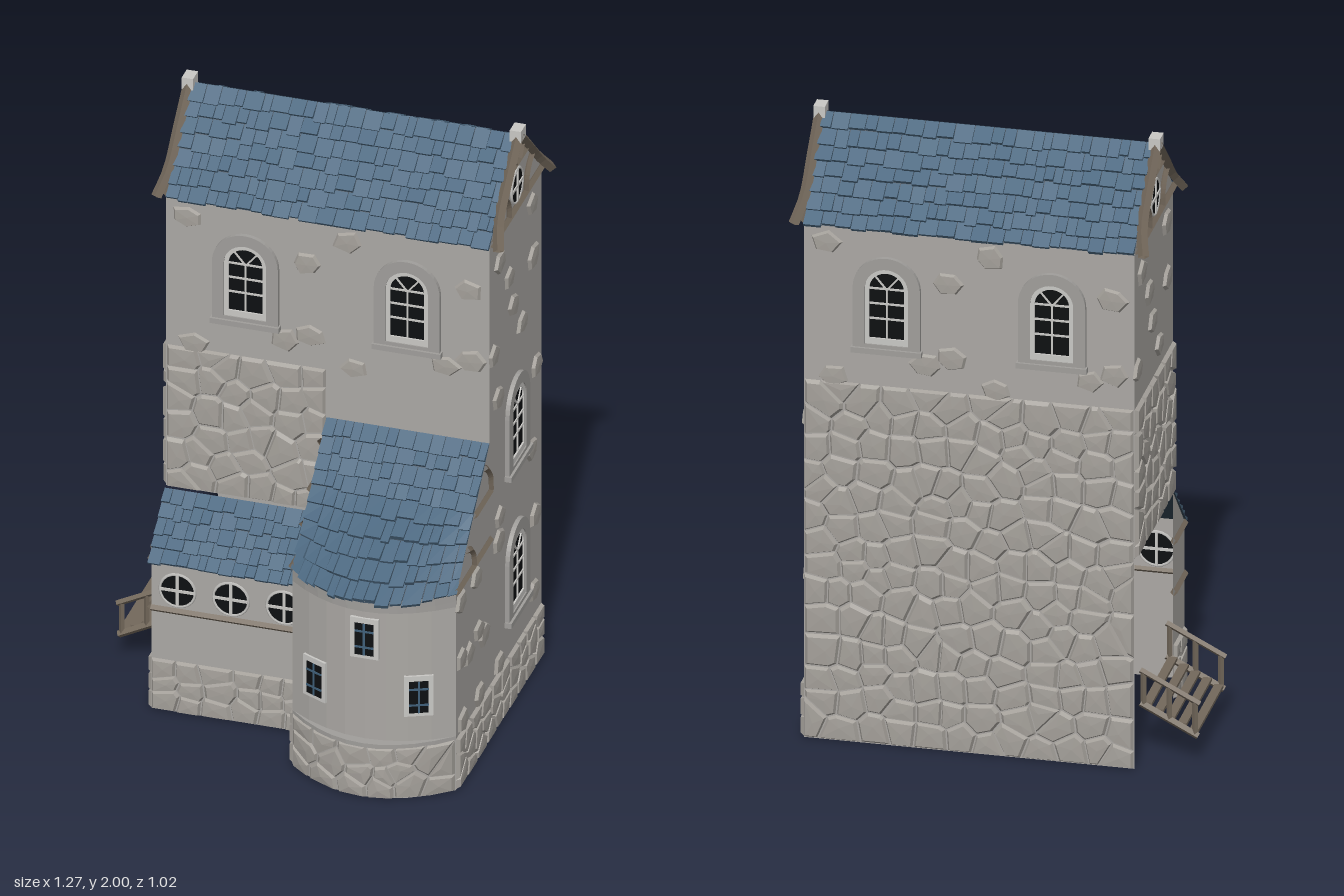
import * as THREE from 'three';

const mat = (name, color, side = THREE.DoubleSide) => {
  const m = new THREE.MeshStandardMaterial({ color, side });
  m.name = name;
  return m;
};

export function createModel() {
  const root = new THREE.Group();
  const M = {
    wall: mat('plaster', 0xaba8a4), stone: mat('stone', 0xa5a19b), trim: mat('window surround', 0xa09e9b),
    wood: mat('timber', 0x73685b), tile: mat('slate', 0x4c6880), under: mat('dark slate', 0x2f3f4e),
    glass: mat('glass', 0x0d0f11), frame: mat('pale frame', 0xc9c8c5), blue: mat('blue bars', 0x40607a),
  };
  let seed = 7;
  const rnd = () => (seed = (seed * 16807) % 2147483647) / 2147483647;
  const add = (name, geo, m, parent = root) => {
    const o = new THREE.Mesh(geo, m);
    o.name = name;
    parent.add(o);
    return o;
  };
  const soup = (pos) => {
    const g = new THREE.BufferGeometry();
    g.setAttribute('position', new THREE.Float32BufferAttribute(pos, 3));
    g.computeVertexNormals();
    return g;
  };

  // Wall faces: (u to the right, v up, h outward) -> world point
  const front = (z) => (u, v, h) => [u, v, z + h];
  const back = (u, v, h) => [-u, v, -0.49 - h];
  const right = (u, v, h) => [0.59 + h, v, -u];
  const left = (x) => (u, v, h) => [x - h, v, u];
  const bulge = (x) => Math.max(0, 1 - ((x - 0.33) / 0.26) ** 2);
  const bay = (d) => (u, v, h) => [u, v, 0.37 + d * bulge(u) + h];

  const mapGeo = (geo, f) => {
    const g = geo.toNonIndexed(), p = g.attributes.position;
    for (let i = 0; i < p.count; i++) p.setXYZ(i, ...f(p.getX(i), p.getY(i), p.getZ(i)));
    g.computeVertexNormals();
    return g;
  };
  const wall = (name, face, pts) => add(name,
    mapGeo(new THREE.ShapeGeometry(new THREE.Shape(pts.map((p) => new THREE.Vector2(...p)))), (u, v) => face(u, v, 0)), M.wall);
  const rect = (a, b, c, d) => [[a, c], [b, c], [b, d], [a, d]];

  // Plastered walls, hollow and open below
  wall('towerFront', front(0.03), [[-0.44, 0.7], [0.07, 0.7], [0.07, 1.02], [0.59, 1.02], [0.59, 1.72], [-0.44, 1.72]]);
  wall('towerBack', back, rect(-0.59, 0.44, 0, 1.72));
  wall('towerLeft', left(-0.44), [[-0.49, 0.7], [0.03, 0.7], [0.03, 1.72], [-0.23, 1.97], [-0.49, 1.72]]);
  wall('rightWall', right, [[-0.37, 0], [0.49, 0], [0.49, 1.72], [0.23, 1.97], [-0.03, 1.72], [-0.03, 1.03], [-0.37, 0.69]]);
  wall('leanToFront', front(0.18), rect(-0.44, 0.07, 0, 0.53));
  wall('leanToLeft', left(-0.44), [[0.03, 0], [0.18, 0], [0.18, 0.53], [0.03, 0.69]]);
  wall('bayLeft', left(0.07), [[0.03, 0.6], [0.18, 0.5], [0.18, 0], [0.37, 0], [0.37, 0.69], [0.03, 1.03]]);
  const curved = (name, d, y0, y1) => add(name,
    mapGeo(new THREE.PlaneGeometry(0.52, y1 - y0, 8, 1), (x, y) => bay(d)(x + 0.33, y + (y0 + y1) / 2, 0)), M.wall);
  curved('bayWall', 0.095, 0.16, 0.69);
  curved('bayBase', 0.12, 0, 0.18);
  // Curved ledge and cornice bands of the bay
  const band = (name, d, y0, y1) => {
    const s = [], n = 10;
    for (let i = 0; i <= n; i++) { const x = 0.07 + 0.52 * i / n; s.push(new THREE.Vector2(x, -bay(d)(x, 0, 0)[2])); }
    for (let i = n; i >= 0; i--) { const x = 0.07 + 0.52 * i / n; s.push(new THREE.Vector2(x, -bay(0.09)(x, 0, -0.01)[2])); }
    const g = new THREE.ExtrudeGeometry(new THREE.Shape(s), { depth: y1 - y0, bevelEnabled: false });
    g.rotateX(-Math.PI / 2).translate(0, y0, 0);
    add(name, g, M.trim);
  };
  band('bayLedge', 0.125, 0.175, 0.19);
  band('bayCorniceLower', 0.11, 0.645, 0.665);
  band('bayCorniceUpper', 0.122, 0.665, 0.69);

  // Bevelled stone from a polygon on a face
  const bump = (pos, face, poly, h) => {
    const n = poly.length;
    const c = [0, 1].map((k) => poly.reduce((s, p) => s + p[k], 0) / n);
    const at = (p, s, hh) => face(c[0] + (p[0] - c[0]) * s, c[1] + (p[1] - c[1]) * s, hh);
    poly.forEach((p, i) => {
      const q = poly[(i + 1) % n];
      const a = at(p, 0.95, 0), b = at(q, 0.95, 0), e = at(q, 0.8, h), f = at(p, 0.8, h);
      pos.push(...a, ...b, ...e, ...a, ...e, ...f, ...f, ...e, ...face(c[0], c[1], h * 1.15));
    });
  };
  // Irregular masonry: cells around jittered seeds
  const masonry = (name, face, u0, u1, v0, v1, size, tall) => {
    const nu = Math.max(1, Math.round((u1 - u0) / size)), nv = Math.round((v1 - v0) / tall);
    const du = (u1 - u0) / nu, dv = (v1 - v0) / nv, seeds = [], pos = [];
    for (let j = 0; j < nv; j++) for (let i = 0; i < nu; i++)
      seeds.push([u0 + (i + 0.5 + (rnd() - 0.5) * 0.8) * du, v0 + (j + 0.5 + (rnd() - 0.5) * 0.7) * dv]);
    for (const s of seeds) {
      let poly = rect(u0, u1, v0, v1);
      for (const t of seeds) {
        if (t === s || Math.abs(t[0] - s[0]) > 3 * du || Math.abs(t[1] - s[1]) > 3 * dv) continue;
        const side = (p) => (p[0] - (s[0] + t[0]) / 2) * (t[0] - s[0]) + (p[1] - (s[1] + t[1]) / 2) * (t[1] - s[1]);
        const out = [];
        poly.forEach((p, i) => {
          const q = poly[(i + 1) % poly.length], a = side(p), b = side(q);
          if (a <= 0) out.push(p);
          if (a * b < 0) out.push([p[0] + (q[0] - p[0]) * a / (a - b), p[1] + (q[1] - p[1]) * a / (a - b)]);
        });
        poly = out;
      }
      if (poly.length > 2) bump(pos, face, poly, 0.012);
    }
    add(name, soup(pos), M.stone);
  };
  masonry('backMasonry', back, -0.59, 0.44, 0, 1.2, 0.085, 0.085);
  masonry('leftMasonry', left(-0.44), -0.49, 0.03, 0.7, 1.2, 0.085, 0.085);
  masonry('frontMasonry', front(0.03), -0.44, 0.07, 0.7, 1.2, 0.085, 0.085);
  masonry('leanToBase', front(0.18), -0.44, 0.07, 0, 0.18, 0.09, 0.055);
  masonry('leanToSideBase', left(-0.44), 0.03, 0.18, 0, 0.18, 0.08, 0.055);
  masonry('bayBaseStones', bay(0.12), 0.07, 0.59, 0, 0.18, 0.085, 0.055);
  masonry('baySideBase', left(0.07), 0.18, 0.37, 0, 0.18, 0.09, 0.055);
  masonry('rightBase', right, -0.37, 0.49, 0, 0.18, 0.09, 0.055);

  // Single stones showing through the plaster
  const scatter = (name, face, pts) => {
    const pos = [];
    for (const [u, v] of pts) {
      const n = 5 + Math.floor(rnd() * 2), poly = [], o = rnd() * 6;
      for (let i = 0; i < n; i++) {
        const a = o + i / n * 2 * Math.PI, r = 0.85 + rnd() * 0.3;
        poly.push([u + Math.cos(a) * 0.052 * r, v + Math.sin(a) * 0.041 * r]);
      }
      bump(pos, face, poly, 0.01);
    }
    add(name, soup(pos), M.stone);
  };
  const upper = [[-0.37, 1.66], [0.01, 1.56], [-0.06, 1.28], [0.02, 1.31], [-0.35, 1.22]];
  const pair = [...upper, ...upper.map(([u, v]) => [u + 0.51, v])];
  scatter('frontStones', front(0.03), pair);
  scatter('backStones', back, pair.map(([u, v]) => [u - 0.15, v]));
  const tall = [[0.06, 1.62], [0.16, 1.51], [0.2, 1.39], [0.29, 1.28], [0.39, 1.64], [0.4, 1.45], [0, 1.32]];
  scatter('rightStones', right, [...tall, [0.05, 1.15], [0.43, 1.05], [0.38, 0.78], [0.42, 0.53], [0.4, 0.27], [0.06, 0.72],
    [0.05, 0.64], [-0.33, 0.64], [-0.17, 0.64], [-0.32, 0.44], [-0.25, 0.41], [-0.15, 0.44], [-0.1, 0.4], [-0.31, 0.21], [-0.14, 0.21], [0.06, 0.21]]);
  scatter('leftStones', left(-0.44), tall.map(([u, v]) => [u - 0.46, v]));

  // Slate roofs: wedge tiles on a surface, u to the right and v down the slope
  const roof = (name, fn, rows, cols) => {
    add(name + 'Underlay', mapGeo(new THREE.PlaneGeometry(1, 1, 10, 8), (x, y) => fn(x + 0.5, 0.5 - y)), M.under);
    const P = (u, v) => new THREE.Vector3(...fn(u, v)), pos = [];
    for (let r = 0; r < rows; r++) {
      for (let u = 0; u < 0.999;) {
        let u1 = u + (0.6 + rnd() * 0.8) / cols;
        if (u1 > 1 - 0.4 / cols) u1 = 1;
        const v0 = r / rows, v1 = Math.min(1.02, (r + 0.95 + rnd() * 0.3) / rows), g = 0.03 / cols;
        const a = P(u + g, v0), b = P(u1 - g, v0), c = P(u1 - g, v1), d = P(u + g, v1);
        const n = b.clone().sub(a).cross(a.clone().sub(d)).normalize(), h = 0.012 + rnd() * 0.007;
        const up = (p, k) => p.clone().addScaledVector(n, k);
        const A = up(a, 0.002), B = up(b, 0.002), C = up(c, h), D = up(d, h);
        for (const q of [[D, C, B, A], [d, c, C, D], [a, d, D, A], [c, b, B, C]])
          for (const i of [0, 1, 2, 0, 2, 3]) pos.push(q[i].x, q[i].y, q[i].z);
        u = u1;
      }
    }
    add(name, soup(pos), M.tile);
  };
  roof('mainRoofFront', (u, v) => [-0.44 + 1.03 * u, 1.975 - 0.26 * v, -0.23 + 0.262 * v], 7, 24);
  roof('mainRoofBack', (u, v) => [0.59 - 1.03 * u, 1.975 - 0.26 * v, -0.23 - 0.262 * v], 7, 24);
  roof('leanToRoof', (u, v) => [-0.445 + 0.515 * u, 0.69 - 0.17 * v, 0.03 + 0.165 * v], 5, 13);
  roof('bayRoof', (u, v) => {
    const x = 0.07 + 0.52 * u;
    return [x, 1.03 - 0.345 * v, 0.03 + 0.335 * v + 0.13 * bulge(x) * Math.max(0, v * 2 - 1)];
  }, 9, 13);

  // Timber members: straight or bent, square in section
  const rod = (name, pts, r = 0.011) => {
    const c = new THREE.CatmullRomCurve3(pts.map((p) => new THREE.Vector3(...p)));
    add(name, new THREE.TubeGeometry(c, pts.length > 2 ? 10 : 1, r, 4).toNonIndexed(), M.wood).geometry.computeVertexNormals();
  };
  for (const [x, s] of [[0.595, 1], [-0.445, -1]]) {
    for (const k of [1, -1]) {
      const z = (d) => -0.23 + k * d;
      rod('bargeBoard', [[x + s * 0.025, 1.715, z(0.265)], [x + s * 0.006, 1.78, z(0.205)], [x + s * 0.004, 1.88, z(0.105)], [x + s * 0.004, 1.98, z(0)]], 0.017);
      rod('gableBrace', [[x, 1.73, z(0.085)], [x, 1.775, z(0.09)], [x, 1.81, z(0.115)], [x, 1.83, z(0.15)]]);
      rod('gableStrut', [[x, 1.88, z(0.02)], [x, 1.92, z(0.055)]], 0.009);
    }
    rod('gableTie', [[x, 1.725, -0.48], [x, 1.725, 0.02]], 0.012);
    rod('gableCollar', [[x, 1.875, -0.33], [x, 1.875, -0.13]], 0.009);
    add('finial', new THREE.BoxGeometry(0.036, 0.04, 0.05), M.frame).position.set(x + s * 0.002, 1.98, -0.23);
  }
  for (const x of [0.592, 0.068]) {
    rod('sideBeam', [[x, 0.865, 0.03], [x, 0.865, 0.19]]);
    rod('sideBrace', [[x, 0.87, 0.03], [x, 0.92, 0.035], [x, 0.955, 0.06], [x, 0.975, 0.085]]);
    rod('sideBeam', [[x, 0.695, x > 0.5 ? 0.03 : 0.19], [x, 0.695, 0.37]]);
    rod('sideBrace', [[x, 0.7, 0.2], [x, 0.74, 0.205], [x, 0.77, 0.23], [x, 0.785, 0.265]]);
  }
  rod('leanToBeam', [[-0.44, 0.355, 0.182], [0.07, 0.355, 0.182]]);
  rod('leanToSideBeam', [[-0.442, 0.355, 0.03], [-0.442, 0.355, 0.18]]);
  rod('leanToSideBeam', [[-0.442, 0.525, 0.03], [-0.442, 0.525, 0.18]]);

  // Windows, built facing +z and turned into place
  const group = (name, x, y, z, ry) => {
    const g = new THREE.Group();
    g.name = name;
    g.position.set(x, y, z);
    g.rotation.y = ry;
    root.add(g);
    return g;
  };
  const box = (g, name, m, w, h, d, x, y, z, rz = 0) => {
    const o = add(name, new THREE.BoxGeometry(w, h, d), m, g);
    o.position.set(x, y, z);
    o.rotation.z = rz;
  };
  const arch = (T, w, y0, y1) => {
    const s = new T(), r = w / 2;
    s.moveTo(-r, y0);
    s.lineTo(r, y0);
    s.lineTo(r, y1 - r);
    s.absarc(0, y1 - r, r, 0, Math.PI);
    s.lineTo(-r, y0);
    return s;
  };
  const archRing = (g, name, m, a, b, depth) => {
    const s = arch(THREE.Shape, ...a);
    s.holes.push(arch(THREE.Path, ...b));
    add(name, new THREE.ExtrudeGeometry(s, { depth, bevelEnabled: false, curveSegments: 10 }), m, g);
  };
  const archedWindow = (x, y, z, ry) => {
    const g = group('archedWindow', x, y, z, ry);
    archRing(g, 'surround', M.trim, [0.21, 0.01, 0.32], [0.135, 0.03, 0.282], 0.014);
    archRing(g, 'frame', M.frame, [0.135, 0.03, 0.282], [0.108, 0.05, 0.268], 0.01);
    add('glass', new THREE.ShapeGeometry(arch(THREE.Shape, 0.11, 0.045, 0.27)), M.glass, g).position.z = 0.004;
    for (const v of [0.115, 0.165, 0.215]) box(g, 'bar', M.frame, 0.108, 0.006, 0.006, 0, v, 0.005);
    box(g, 'mullion', M.frame, 0.005, 0.17, 0.006, 0, 0.13, 0.005);
    for (const k of [1, -1]) box(g, 'fanBar', M.frame, 0.005, 0.055, 0.006, k * 0.02, 0.236, 0.005, -k * 0.7);
    box(g, 'sill', M.trim, 0.22, 0.018, 0.022, 0, 0.009, 0.011);
  };
  for (const x of [-0.185, 0.33]) {
    archedWindow(x, 1.31, 0.03, 0);
    archedWindow(x, 1.31, -0.49, Math.PI);
  }
  for (const y of [0.295, 0.81]) archedWindow(0.59, y, -0.23, Math.PI / 2);

  const roundWindow = (x, y, z, ry) => {
    const g = group('roundWindow', x, y, z, ry);
    add('glass', new THREE.CircleGeometry(0.055, 20), M.glass, g).position.z = 0.005;
    add('rim', new THREE.TorusGeometry(0.056, 0.005, 4, 20), M.frame, g).position.z = 0.004;
    box(g, 'bar', M.frame, 0.11, 0.009, 0.006, 0, 0, 0.006);
    box(g, 'mullion', M.frame, 0.009, 0.11, 0.006, 0, 0, 0.006);
  };
  for (const x of [-0.355, -0.185, -0.015]) {
    roundWindow(x, 0.43, 0.18, 0);
    roundWindow(x, 0.43, 0.178, Math.PI);
  }
  roundWindow(0.59, 1.795, -0.23, Math.PI / 2);
  roundWindow(-0.44, 1.795, -0.23, -Math.PI / 2);

  for (const [x, y] of [[0.16, 0.35], [0.33, 0.545], [0.49, 0.35]]) {
    const g = group('bayWindow', x, y, bay(0.095)(x, 0, 0)[2], Math.atan(0.19 * (x - 0.33) / 0.0676));
    box(g, 'frame', M.frame, 0.09, 0.14, 0.012, 0, 0, 0);
    box(g, 'glass', M.glass, 0.06, 0.11, 0.004, 0, -0.003, 0.006);
    box(g, 'mullion', M.blue, 0.007, 0.11, 0.005, 0, -0.003, 0.007);
    for (const v of [-0.03, 0.025]) box(g, 'bar', M.blue, 0.06, 0.007, 0.005, 0, v, 0.007);
  }

  // Wooden steps with railings
  for (let i = 0; i < 5; i++)
    add('step', new THREE.BoxGeometry(0.028, 0.01, 0.34), M.wood).position.set(-0.605 + i * 0.036, 0.105 + i * 0.019, -0.235);
  for (const z of [-0.41, -0.06]) {
    rod('stringer', [[-0.62, 0.092, z], [-0.44, 0.185, z]], 0.012);
    rod('handrail', [[-0.625, 0.2, z], [-0.44, 0.295, z]], 0.01);
    for (const x of [-0.61, -0.53, -0.45]) rod('post', [[x, 0.1 + (x + 0.61) * 0.52, z], [x, 0.208 + (x + 0.61) * 0.52, z]], 0.009);
  }
  return root;
}
